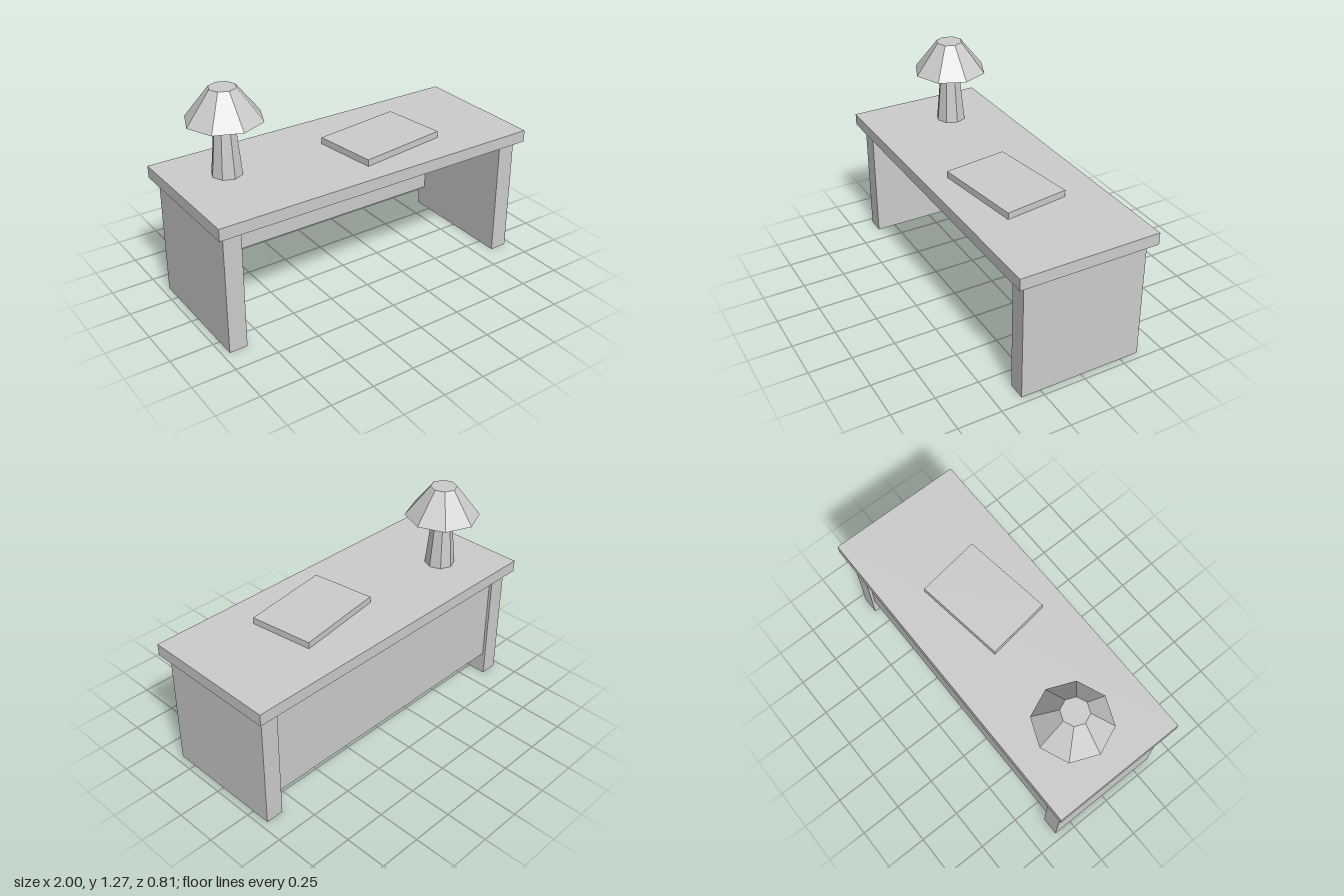
import * as THREE from 'three';

export function createModel() {
  const model = new THREE.Group();
  model.name = 'deskWithLamp';

  const grey = new THREE.MeshStandardMaterial({ color: 0xcccccc, flatShading: true });
  grey.name = 'light grey';

  const add = (parent, name, geometry, x, y, z) => {
    const mesh = new THREE.Mesh(geometry, grey);
    mesh.name = name;
    mesh.position.set(x, y, z);
    parent.add(mesh);
    return mesh;
  };
  // Box given by its size and the height of its underside
  const box = (parent, name, w, h, d, x, bottom, z) =>
    add(parent, name, new THREE.BoxGeometry(w, h, d), x, bottom + h / 2, z);

  // Desk: top, two slab legs and a back panel set slightly inwards
  const desk = new THREE.Group();
  desk.name = 'desk';
  model.add(desk);
  box(desk, 'deskTop', 2, 0.07, 0.815, 0, 0.71, 0);
  for (const [name, side] of [['leftLeg', 1], ['rightLeg', -1]]) {
    box(desk, name, 0.105, 0.71, 0.725, side * 0.908, 0, 0);
  }
  box(desk, 'backPanel', 1.712, 0.545, 0.042, 0, 0.14, -0.324);

  // Writing pad lying at a slight angle
  const pad = box(model, 'writingPad', 0.545, 0.039, 0.383, 0.225, 0.78, 0.043);
  pad.rotation.y = 0.138;

  // Eight-sided lamp: tapered stem, bulb and closed shade
  const lamp = new THREE.Group();
  lamp.name = 'lamp';
  lamp.position.set(-0.683, 0.78, -0.092);
  model.add(lamp);
  add(lamp, 'lampStem', new THREE.CylinderGeometry(0.062, 0.088, 0.265, 8), 0, 0.1325, 0);
  add(lamp, 'lampBulb', new THREE.SphereGeometry(0.084, 8, 6), 0, 0.32, 0);
  add(lamp, 'lampShade', new THREE.CylinderGeometry(0.076, 0.216, 0.18, 8), 0, 0.405, 0);

  return model;
}
